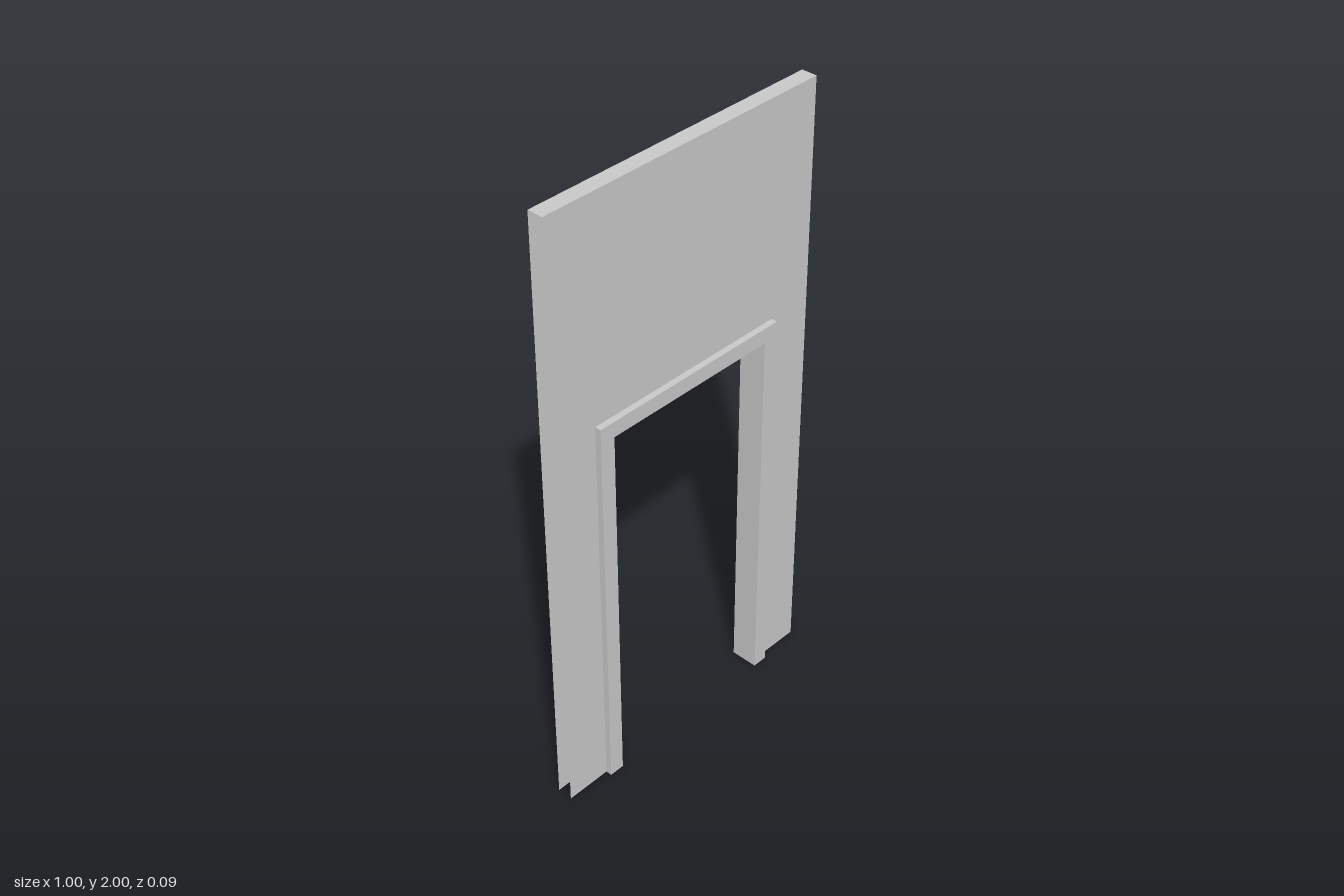
import * as THREE from 'three';

const WALL_Z = 0.025, TRIM_Z = 0.045; // half thickness of wall and of trim
const material = new THREE.MeshStandardMaterial({ color: 0xcccccc, side: THREE.DoubleSide });

// Doorway outline from the foot at -x, over the head, to the foot at +x
const arch = (halfWidth, height) => [
  [-halfWidth, 0], [-halfWidth, height], [halfWidth, height], [halfWidth, 0],
];

// Flat n-shaped face between an outer and an inner outline
function face(outer, inner, z) {
  const points = [...outer, ...[...inner].reverse()].map(([x, y]) => new THREE.Vector2(x, y));
  return new THREE.ShapeGeometry(new THREE.Shape(points)).translate(0, 0, z);
}

// Strip along a path, spanning z0 to z1; faces the right of travel
function strip(path, z0, z1) {
  const positions = [];
  for (let i = 0; i < path.length - 1; i++) {
    const p = path[i], q = path[i + 1];
    positions.push(...p, z0, ...q, z0, ...q, z1, ...p, z0, ...q, z1, ...p, z1);
  }
  const geometry = new THREE.BufferGeometry();
  geometry.setAttribute('position', new THREE.Float32BufferAttribute(positions, 3));
  geometry.computeVertexNormals();
  return geometry;
}

function add(parent, name, geometry) {
  const mesh = new THREE.Mesh(geometry, material);
  mesh.name = name;
  parent.add(mesh);
}

export function createModel() {
  const model = new THREE.Group();
  model.name = 'doorwayWall';

  const wall = arch(0.5, 2), trim = arch(0.35, 1.3), opening = arch(0.3, 1.25);

  // Wall skin and raised door trim, the same on both sides
  ['front', 'back'].forEach((name, i) => {
    const side = new THREE.Group();
    side.name = name + 'Side';
    side.rotation.y = i * Math.PI;
    add(side, 'wallFace', face(wall, trim, WALL_Z));
    add(side, 'trimFace', face(trim, opening, TRIM_Z));
    add(side, 'trimEdge', strip([...trim].reverse(), WALL_Z, TRIM_Z));
    model.add(side);
  });

  // Lining through the opening, and the wall's top; ends and base stay open
  add(model, 'doorLining', strip(opening, -TRIM_Z, TRIM_Z));
  add(model, 'wallTop', strip([[0.5, 2], [-0.5, 2]], -WALL_Z, WALL_Z));

  return model;
}
